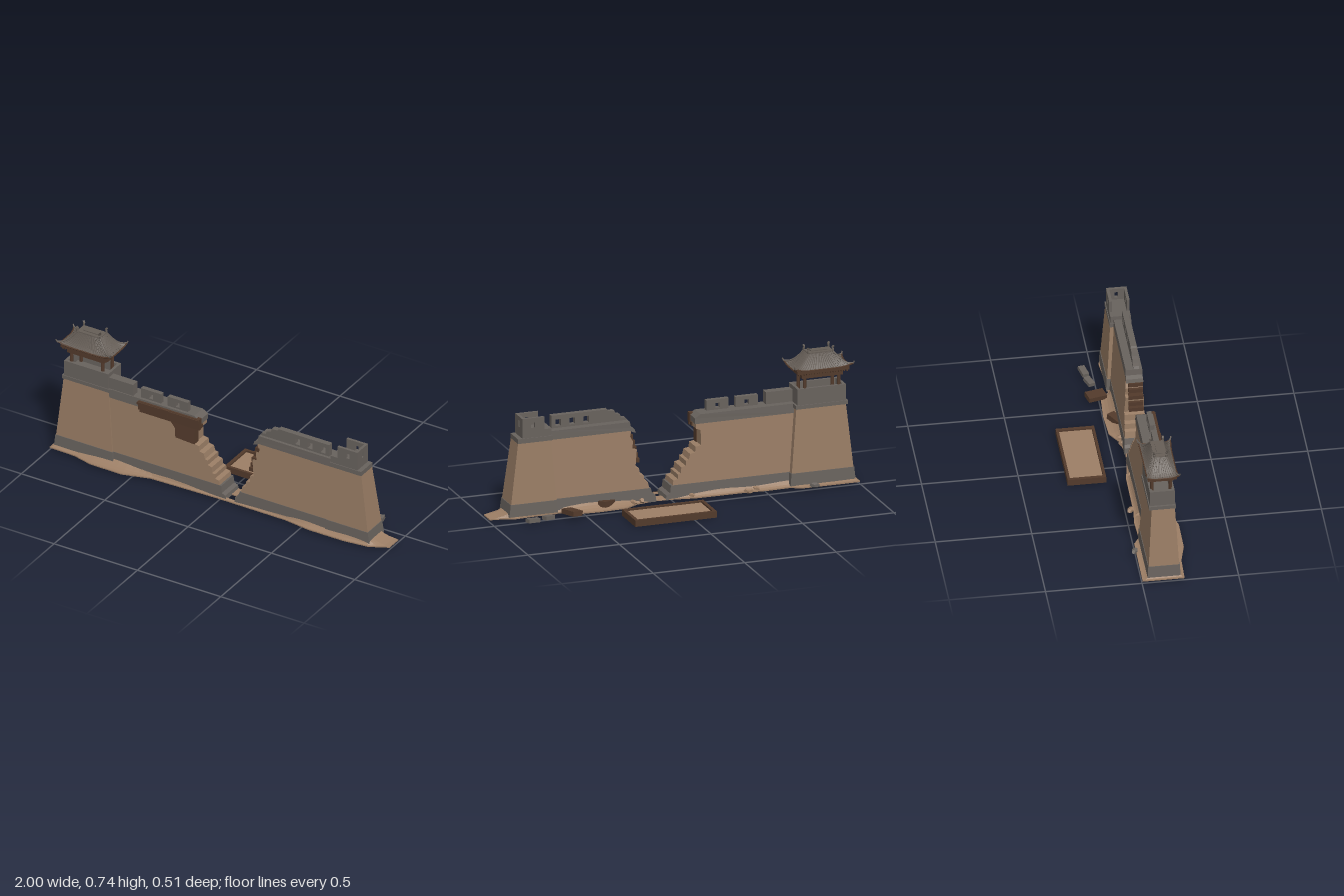
import * as THREE from 'three';

const mat = (name, color, double) => {
  const m = new THREE.MeshStandardMaterial({ color });
  m.name = name;
  m.flatShading = true;
  if (double) m.side = THREE.DoubleSide;
  return m;
};

export function createModel() {
  const model = new THREE.Group();
  const earth = mat('rammed earth', 0x987c64), brick = mat('grey brick', 0x68625d);
  const wood = mat('dark timber', 0x523a2b), tile = mat('roof tile', 0x665e57, true);
  const sand = mat('sand', 0x9c7e65, true);
  const lerp = THREE.MathUtils.lerp;

  const add = (name, geo, material, parent = model) => {
    const mesh = new THREE.Mesh(geo, material);
    mesh.name = name;
    parent.add(mesh);
    return mesh;
  };
  // Box given by its limits
  const box = (name, x0, x1, y0, y1, z0, z1, m, parent) => {
    const g = new THREE.BoxGeometry(x1 - x0, y1 - y0, z1 - z0);
    g.translate((x0 + x1) / 2, (y0 + y1) / 2, (z0 + z1) / 2);
    return add(name, g, m, parent);
  };
  // Horizontal slice of a tapering tower; rects are [x0, x1, z0, z1]
  const slice = (name, bot, top, H, y0, y1, pad, m) => {
    const g = new THREE.BoxGeometry(1, 1, 1), p = g.attributes.position;
    for (let i = 0; i < p.count; i++) {
      const y = p.getY(i) > 0 ? y1 : y0, r = bot.map((v, k) => lerp(v, top[k], y / H));
      p.setXYZ(i, p.getX(i) > 0 ? r[1] + pad : r[0] - pad, y, p.getZ(i) > 0 ? r[3] + pad : r[2] - pad);
    }
    g.computeVertexNormals();
    add(name, g, m);
  };
  const outline = (pts, holes = []) => {
    const s = new THREE.Shape(pts.map(([x, y]) => new THREE.Vector2(x, y)));
    for (const [cx, cy, w, h] of holes) {
      s.holes.push(new THREE.Path([[-1, -1], [-1, 1], [1, 1], [1, -1]]
        .map(([a, b]) => new THREE.Vector2(cx + a * w / 2, cy + b * h / 2))));
    }
    return s;
  };
  const plate = (name, pts, holes, z0, z1, m) => {
    const g = new THREE.ExtrudeGeometry(outline(pts, holes), { depth: z1 - z0, bevelEnabled: false });
    return add(name, g.translate(0, 0, z0), m);
  };
  // Elevation extruded between the leaning back (0) and front (1) wall faces
  const wall = (name, pts, m, f0 = 0, f1 = 1) => {
    const g = new THREE.ExtrudeGeometry(outline(pts), { depth: 1, bevelEnabled: false });
    const p = g.attributes.position;
    for (let i = 0; i < p.count; i++) {
      const k = Math.min(p.getY(i) / 0.42, 1);
      p.setZ(i, lerp(lerp(0.065, 0.092, k), lerp(0.19, 0.173, k), p.getZ(i) > 0.5 ? f1 : f0));
    }
    g.computeVertexNormals();
    add(name, g, m);
  };
  const rect = (x0, x1, y0, y1) => [[x0, y0], [x1, y0], [x1, y1], [x0, y1]];
  const tube = (name, pts, r, m, parent) => add(name, new THREE.TubeGeometry(
    new THREE.CatmullRomCurve3(pts), 8, r, 5), m, parent);

  // Left tower
  const lb = [-0.985, -0.632, 0.033, 0.2], lt = [-0.942, -0.672, 0.058, 0.178];
  slice('leftTowerBody', lb, lt, 0.43, 0.01, 0.43, 0, earth);
  slice('leftTowerBase', lb, lt, 0.43, 0.02, 0.085, 0.003, brick);
  box('leftTowerTrim', -0.95, -0.665, 0.425, 0.445, 0.044, 0.182, brick);
  // Hollow parapet: floor and four walls
  const parapet = (name, x0, x1, y0, y1, z0, z1, t) => {
    box(name + 'Floor', x0, x1, y0, y0 + 0.04, z0, z1, brick);
    box(name + 'Front', x0, x1, y0, y1, z1 - t, z1, brick);
    box(name + 'Back', x0, x1, y0, y1, z0, z0 + t, brick);
    box(name + 'Right', x0, x0 + t, y0, y1, z0, z1, brick);
    box(name + 'Left', x1 - t, x1, y0, y1, z0, z1, brick);
  };
  parapet('leftTowerParapet', -0.94, -0.675, 0.44, 0.532, 0.049, 0.178, 0.015);

  // Right tower
  const rb = [0.635, 0.9, 0.048, 0.192], rt = [0.665, 0.842, 0.072, 0.178];
  slice('rightTowerBody', rb, rt, 0.42, 0.01, 0.42, 0, earth);
  slice('rightTowerBase', rb, rt, 0.42, 0.02, 0.085, 0.003, brick);
  box('rightTowerTrim', 0.655, 0.845, 0.405, 0.43, 0.068, 0.182, brick);
  box('rightTowerDeck', 0.66, 0.82, 0.42, 0.468, 0.072, 0.178, brick);
  for (const z of [0.072, 0.163])
    plate('rightTowerMerlon', rect(0.7, 0.82, 0.46, 0.535), [[0.762, 0.497, 0.02, 0.028]], z, z + 0.015, brick);
  const side = plate('rightTowerSideMerlon', rect(-0.178, -0.072, 0.46, 0.535), [[-0.123, 0.497, 0.018, 0.033]], 0, 0.015, brick);
  side.rotation.y = Math.PI / 2;
  side.position.x = 0.805;

  // Left wall with stepped, broken end
  wall('leftWallBody', [[-0.69, 0.08], [0, 0.08], [-0.005, 0.11], [-0.03, 0.115], [-0.03, 0.14], [-0.047, 0.142],
    [-0.05, 0.175], [-0.075, 0.18], [-0.075, 0.207], [-0.092, 0.21], [-0.1, 0.24], [-0.127, 0.245], [-0.13, 0.275],
    [-0.16, 0.28], [-0.16, 0.36], [-0.135, 0.37], [-0.135, 0.4], [-0.69, 0.4]], earth);
  wall('leftWallBase', [[-0.69, 0.01], [0.04, 0.01], [0.035, 0.035], [0.015, 0.045], [0.01, 0.085], [-0.69, 0.085]], brick, -0.02, 1.02);
  wall('leftWallTop', [[-0.69, 0.395], [-0.13, 0.395], [-0.13, 0.425], [-0.16, 0.445], [-0.69, 0.445]], brick, -0.03, 1.03);
  box('leftWallHighParapet', -0.68, -0.53, 0.44, 0.51, 0.125, 0.17, brick);
  for (const x of [-0.49, -0.33])
    plate('leftMerlon', rect(x, x + 0.122, 0.44, 0.5), [[x + 0.061, 0.467, 0.024, 0.026]], 0.135, 0.16, brick);

  // Timber hoarding and exposed core on the left wall
  box('hoarding', -0.49, -0.125, 0.385, 0.435, 0.16, 0.186, wood);
  box('hoardingRail', -0.495, -0.125, 0.418, 0.432, 0.16, 0.192, wood);
  box('hoardingSill', -0.485, -0.125, 0.37, 0.385, 0.165, 0.181, wood);
  box('hoardingBoss', -0.35, -0.31, 0.4, 0.436, 0.18, 0.194, wood);
  wall('exposedCore', [[-0.32, 0.39], [-0.275, 0.34], [-0.27, 0.285], [-0.155, 0.278], [-0.155, 0.36],
    [-0.13, 0.37], [-0.13, 0.39]], wood, 0.6, 1.03);

  // Right wall with ragged end
  wall('rightWallBody', [[0.125, 0.08], [0.7, 0.08], [0.7, 0.41], [0.215, 0.41], [0.225, 0.37], [0.21, 0.34], [0.215, 0.3],
    [0.19, 0.295], [0.195, 0.25], [0.2, 0.2], [0.18, 0.195], [0.178, 0.16], [0.155, 0.155], [0.153, 0.125],
    [0.135, 0.12]], earth);
  wall('rightWallBase', [[0.09, 0.01], [0.7, 0.01], [0.7, 0.085], [0.12, 0.085], [0.112, 0.055], [0.095, 0.045]], brick, -0.02, 1.02);
  wall('rightWallTop', [[0.195, 0.385], [0.23, 0.4], [0.68, 0.4], [0.68, 0.447], [0.225, 0.447], [0.222, 0.415], [0.2, 0.405]],
    brick, -0.03, 1.03);
  plate('rightMerlons', [[0.225, 0.44], [0.64, 0.44], [0.64, 0.515], [0.335, 0.515], [0.33, 0.505], [0.295, 0.503],
    [0.29, 0.485], [0.265, 0.48], [0.26, 0.463], [0.235, 0.46]],
  [[0.45, 0.475, 0.03, 0.035], [0.525, 0.475, 0.03, 0.035], [0.603, 0.475, 0.03, 0.035]], 0.13, 0.16, brick);
  for (const [x, y, w] of [[0.17, 0.22, 0.03], [0.178, 0.25, 0.035], [0.185, 0.285, 0.035], [0.195, 0.32, 0.03], [0.205, 0.35, 0.025]])
    box('brokenTimber', x, x + w, y, y + 0.022, 0.1, 0.176, wood);

  // Pavilion on the left tower
  const pav = new THREE.Group();
  pav.name = 'pavilion';
  pav.position.set(-0.812, 0, 0.112);
  model.add(pav);
  for (const x of [-0.093, 0.093]) for (const z of [-0.048, 0.048])
    add('column', new THREE.CylinderGeometry(0.009, 0.009, 0.13, 8).translate(x, 0.53, z), wood, pav);
  box('beam', -0.112, 0.112, 0.586, 0.612, -0.063, 0.063, wood, pav);
  box('eaveBoard', -0.142, 0.142, 0.614, 0.632, -0.076, 0.076, wood, pav);
  for (let i = -9; i <= 9; i++) box('rafter', i * 0.0145 - 0.003, i * 0.0145 + 0.003, 0.606, 0.616, -0.074, 0.074, wood, pav);

  // Concave hipped roof with lifted corners; u runs -1..1 along a side, t from top to eave
  const roofPoint = (k, u, t) => {
    const hx = lerp(0.067, 0.152, t), hz = lerp(0.032, 0.078, t), c = t ** 3 * Math.abs(u) ** 6;
    const w = (k % 2 ? hz : hx) + 0.008 * c, d = (k % 2 ? hx : hz) + 0.006 * c;
    return new THREE.Vector3(u * w, 0.63 + 0.08 * (1 - t) ** 1.5 + 0.018 * c, d)
      .applyAxisAngle(new THREE.Vector3(0, 1, 0), k * Math.PI / 2);
  };
  const steps = [0, 0.25, 0.5, 0.75, 1];
  for (let k = 0; k < 4; k++) {
    const g = new THREE.PlaneGeometry(2, 1, 14, 7), p = g.attributes.position;
    for (let i = 0; i < p.count; i++) {
      const v = roofPoint(k, p.getX(i), 0.5 - p.getY(i));
      p.setXYZ(i, v.x, v.y, v.z);
    }
    g.computeVertexNormals();
    add('roofSlope', g, tile, pav);
    tube('hipRidge', steps.map(t => roofPoint(k, 1, t)), 0.005, tile, pav);
    const n = k % 2 ? 5 : 9;
    for (let i = -n; i <= n; i++) tube('tileRib', steps.map(t => roofPoint(k, i / (n + 1), t)), 0.0018, tile, pav);
    tube('eaveEdge', [-1, -0.9, -0.6, 0, 0.6, 0.9, 1].map(u => roofPoint(k, u, 1)), 0.004, wood, pav);
    const a = roofPoint(k, 1, 0), tip = roofPoint(k, 1, 1), out = (s, y) => new THREE.Vector3(a.x * s, y, a.z * s);
    tube('ridgeHorn', [out(0.95, 0.7), out(1.02, 0.718), out(0.97, 0.728), out(1.06, 0.738)], 0.006, tile, pav);
    tube('cornerTip', [tip, tip.clone().add(new THREE.Vector3(tip.x * 0.03, 0.012, tip.z * 0.03))], 0.004, tile, pav);
  }
  box('roofCap', -0.069, 0.069, 0.7, 0.712, -0.034, 0.034, tile, pav);
  box('roofCrown', -0.045, 0.045, 0.71, 0.717, -0.015, 0.015, tile, pav);

  // Ground sheet with a hole in the breach
  const shore = [[-1, 0.22], [-0.85, 0.225], [-0.74, 0.253], [-0.55, 0.255], [-0.4, 0.212], [0, 0.2], [0.4, 0.202], [0.55, 0.222],
    [0.76, 0.222], [0.9, 0.205], [1, 0.155], [1, 0.07], [0.93, 0.062], [0.87, 0.04], [0.75, 0.05], [0.62, 0.055], [0.58, 0.01],
    [0.42, 0], [0.27, 0.008], [0.2, 0.05], [0.1, 0.07], [-0.02, 0.06], [-0.12, 0.042], [-0.4, 0.04], [-0.5, 0.03],
    [-0.63, 0.035], [-0.68, 0.005], [-1, 0.003]];
  const sheet = new THREE.ExtrudeGeometry(outline(shore.map(([x, z]) => [x, -z]), [[0.06, -0.155, 0.07, 0.045]]),
    { depth: 0.006, bevelEnabled: false });
  add('ground', sheet.rotateX(-Math.PI / 2).translate(0, 0.01, 0), sand);

  // Sand drift rising from the shore line to the foot of the walls
  const ring = [];
  shore.forEach((a, i) => {
    const b = shore[(i + 1) % shore.length];
    for (let s = 0; s < 4; s++) ring.push([lerp(a[0], b[0], s / 4), lerp(a[1], b[1], s / 4)]);
  });
  const pos = [], idx = [], rows = 5;
  ring.forEach(([x, z], i) => {
    const ix = THREE.MathUtils.clamp(x, -0.965, 0.885), iz = THREE.MathUtils.clamp(z, 0.07, 0.185);
    const h = 0.035 * Math.min(1, Math.abs(x - 0.06) / 0.2) * (0.85 + 0.15 * Math.sin(x * 17));
    for (let r = 0; r < rows; r++) {
      const t = r / (rows - 1);
      pos.push(lerp(ix, x, t), 0.015 + h * (1 - t) ** 2, lerp(iz, z, t));
      if (r < rows - 1) {
        const a = i * rows + r, b = ((i + 1) % ring.length) * rows + r;
        idx.push(a, a + 1, b, b, a + 1, b + 1);
      }
    }
  });
  const drift = new THREE.BufferGeometry();
  drift.setAttribute('position', new THREE.Float32BufferAttribute(pos, 3));
  drift.setIndex(idx);
  drift.computeVertexNormals();
  add('sandDrift', drift, sand);

  // Framed tray lying behind the wall
  box('trayBase', -0.12, 0.325, 0, 0.014, -0.26, -0.06, wood);
  box('trayFill', -0.105, 0.31, 0.012, 0.026, -0.245, -0.075, sand);
  for (const z of [-0.26, -0.074]) box('trayLongSide', -0.12, 0.325, 0, 0.035, z, z + 0.014, wood);
  for (const x of [-0.12, 0.307]) box('trayShortSide', x, x + 0.018, 0, 0.035, -0.26, -0.06, wood);

  // Fallen rubble: [name, x, y, z, size x, y, z, turn, material]
  for (const [name, x, y, z, sx, sy, sz, turn, m] of [
    ['fallenBeam', 0.58, 0.034, -0.015, 0.06, 0.026, 0.1, 0.3, wood], ['fallenBlock', 0.365, 0.035, 0.058, 0.085, 0.03, 0.045, 0.6, wood],
    ['fallenBrick', 0.715, 0.025, -0.03, 0.06, 0.02, 0.035, 0.4, brick], ['fallenBrick', 0.805, 0.025, -0.047, 0.07, 0.02, 0.035, 0.25, brick]]) {
    const b = add(name, new THREE.BoxGeometry(sx, sy, sz), m);
    b.position.set(x, y, z);
    b.rotation.set(0.08, turn, 0.06);
  }
  for (const [x, z, r, m] of [[-0.75, -0.003, 0.026, brick], [-0.4, 0.025, 0.026, sand], [-0.45, 0.055, 0.022, sand],
    [-0.1, 0.065, 0.022, sand], [0.17, 0.075, 0.03, sand], [0.22, 0.06, 0.025, sand], [-0.03, 0.08, 0.025, brick], [0.13, 0.1, 0.025, brick]]) {
    const s = add('rubbleStone', new THREE.DodecahedronGeometry(r), m);
    s.scale.set(1.1, 0.55, 0.6);
    s.position.set(x, 0.024, z);
    s.rotation.y = x * 9;
  }
  return model;
}
